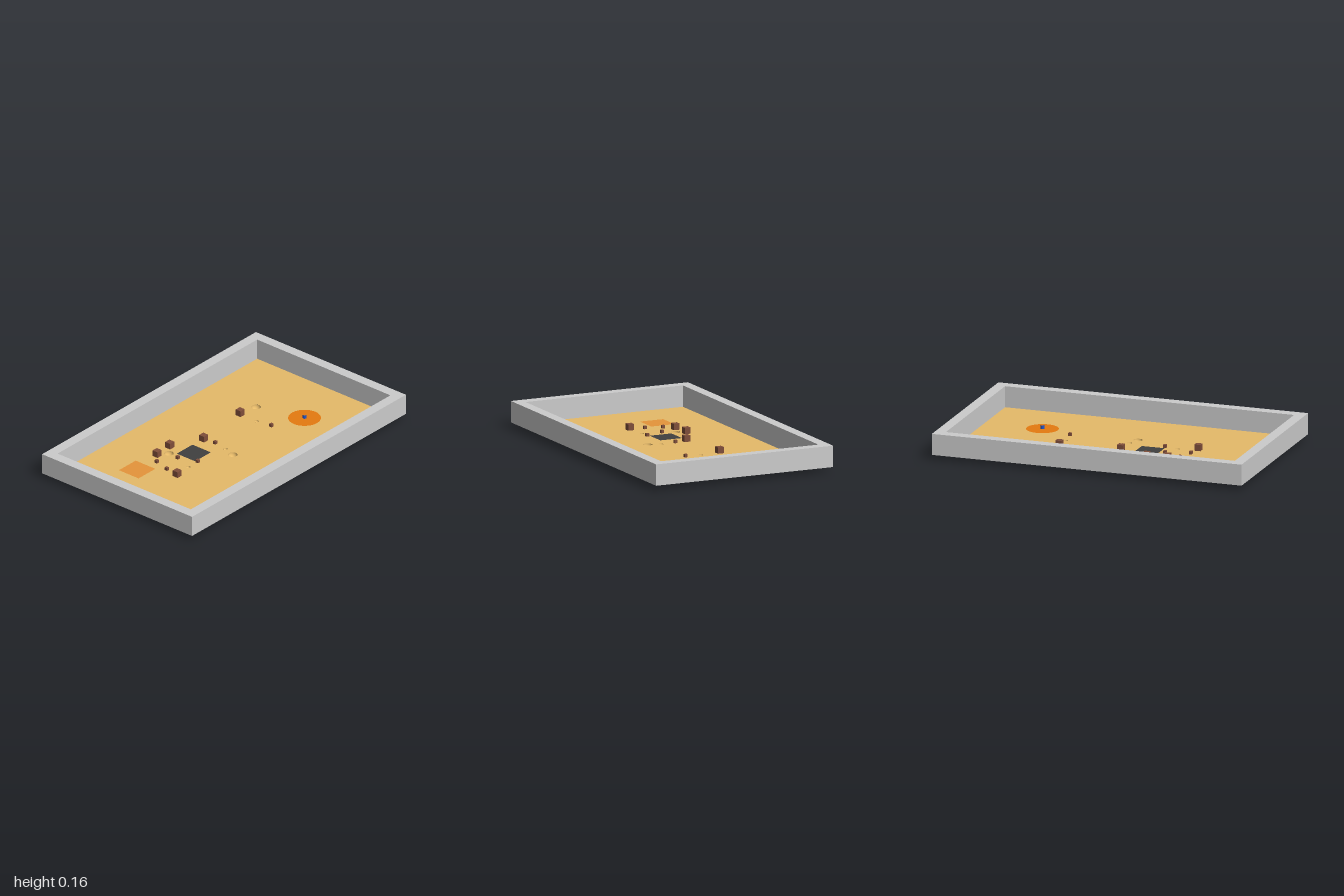
import * as THREE from 'three';

const FLOOR = 0.03, TOP = 0.163, HX = 1, HZ = 0.6, WALL = 0.067;

const paint = (color, side = THREE.FrontSide) => new THREE.MeshStandardMaterial({ color, side });

export function createModel() {
  const model = new THREE.Group();
  const add = (name, geometry, material, x, y, z) => {
    const mesh = new THREE.Mesh(geometry, material);
    mesh.name = name;
    mesh.position.set(x, y, z);
    model.add(mesh);
    return mesh;
  };

  const grey = paint(0xcccccc);
  const sand = paint(0xe6ba69, THREE.DoubleSide);
  const brown = paint(0x7f4e3a);

  // Four walls, each butting against the next one around the tray
  const h = TOP - FLOOR, y = FLOOR + h / 2;
  const longWall = new THREE.BoxGeometry(2 * HX - WALL, h, WALL);
  const shortWall = new THREE.BoxGeometry(WALL, h, 2 * HZ - WALL);
  for (const s of [1, -1]) {
    add(s > 0 ? 'frontWall' : 'backWall', longWall, grey, s * WALL / 2, y, s * (HZ - WALL / 2));
    add(s > 0 ? 'leftWall' : 'rightWall', shortWall, grey, s * (HX - WALL / 2), y, -s * WALL / 2);
  }

  // Craters: x, z, radius
  const craters = [
    [-0.31, -0.175, 0.029], [-0.07, 0.13, 0.029], [0.473, -0.148, 0.029],
    [-0.363, 0.024, 0.014], [-0.045, 0.05, 0.014], [0.34, -0.03, 0.014],
  ];

  // Sand floor with a round opening above each crater
  const ix = HX - WALL, iz = HZ - WALL;
  const outline = new THREE.Shape([
    new THREE.Vector2(-ix, -iz), new THREE.Vector2(ix, -iz),
    new THREE.Vector2(ix, iz), new THREE.Vector2(-ix, iz),
  ]);
  for (const [x, z, r] of craters) {
    outline.holes.push(new THREE.Path().absarc(x, -z, r, 0, Math.PI * 2, true));
    const bowl = new THREE.SphereGeometry(r, 24, 10, 0, Math.PI * 2, Math.PI / 2, Math.PI / 2);
    add('crater', bowl, sand, x, FLOOR, z);
  }
  add('sandFloor', new THREE.ShapeGeometry(outline, 24).rotateX(-Math.PI / 2), sand, 0, FLOOR, 0);

  // Flat zones marked on the floor
  const lay = (name, geometry, color, x, z) =>
    add(name, geometry.rotateX(-Math.PI / 2), paint(color, THREE.DoubleSide), x, FLOOR + 0.001, z);
  lay('startZone', new THREE.PlaneGeometry(0.157, 0.157), 0xe6953a, -0.59, -0.19);
  lay('darkZone', new THREE.PlaneGeometry(0.147, 0.147), 0x404040, -0.21, -0.062);
  lay('roundZone', new THREE.CircleGeometry(0.1, 40), 0xe67a10, 0.56, 0.165);

  // Cube rocks: x, z, size
  const rocks = [
    [-0.38, -0.21, 0.039], [-0.25, -0.22, 0.039], [-0.05, -0.12, 0.039],
    [-0.49, 0.045, 0.039], [0.335, -0.157, 0.039],
    [-0.445, -0.157, 0.019], [-0.325, -0.093, 0.019], [-0.475, -0.05, 0.019],
    [-0.035, -0.04, 0.019], [-0.28, 0.03, 0.019], [0.35, 0.08, 0.019],
  ];
  for (const [x, z, size] of rocks) {
    add('rock', new THREE.BoxGeometry(size, size, size), brown, x, FLOOR + size / 2, z);
  }

  // Open blue tube in the middle of the round zone
  add('beacon', new THREE.CylinderGeometry(0.012, 0.012, 0.025, 16, 1, true),
    paint(0x2255cc), 0.56, FLOOR + 0.0125, 0.165);

  return model;
}
